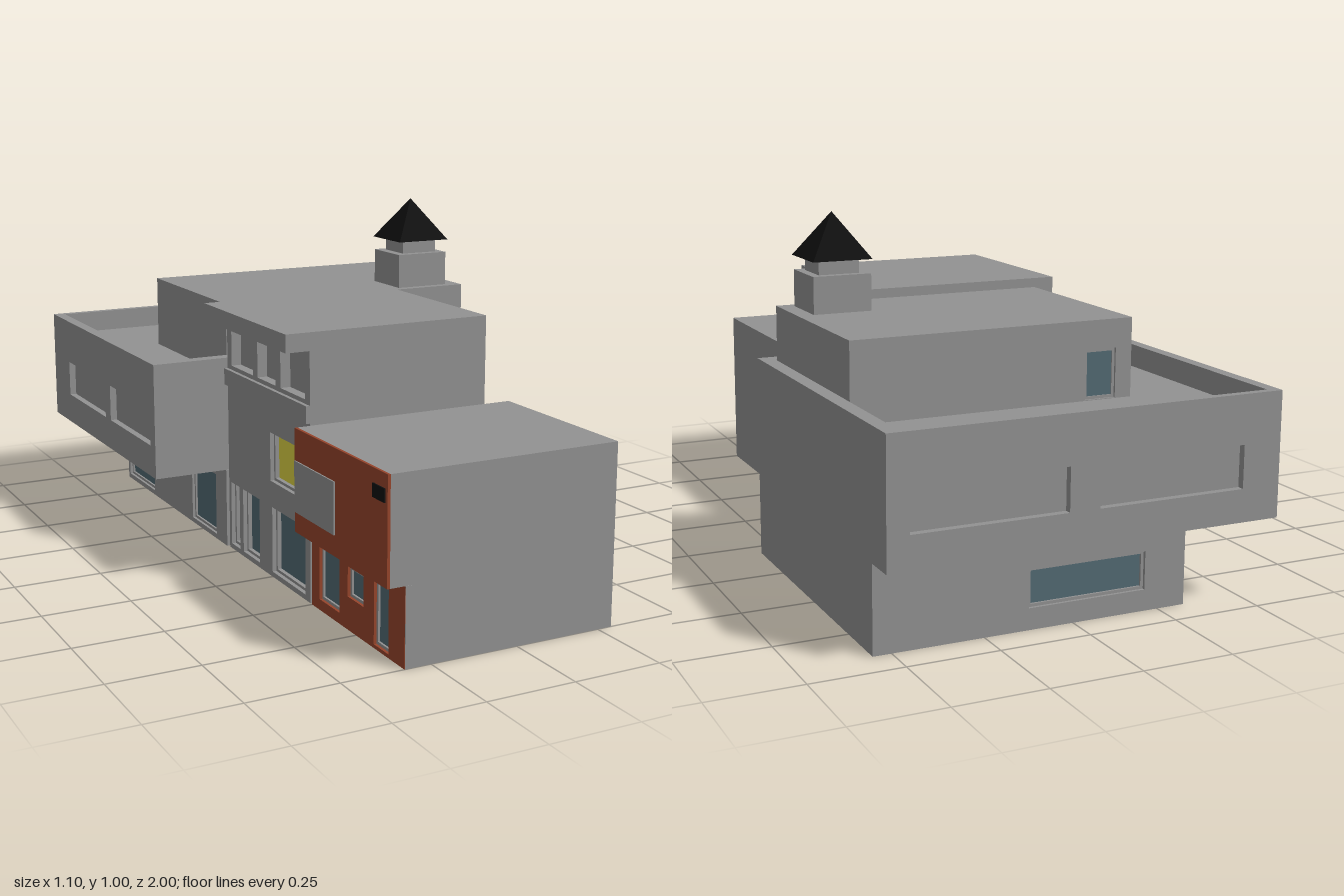
import * as THREE from 'three';

const mat = (name, color) => Object.assign(new THREE.MeshStandardMaterial({ color }), { name });
const GREY = mat('grey plaster', 0x929292);
const BRICK = mat('red brick', 0x96452c);
const GLASS = mat('blue grey glass', 0x536a73);
const YELLOW = mat('yellow panel', 0xdcd244);
const BLACK = mat('black roofing', 0x101010);

// Box from its min and max corners
function box(parent, name, m, [x0, x1], [y0, y1], [z0, z1]) {
  const mesh = new THREE.Mesh(new THREE.BoxGeometry(x1 - x0, y1 - y0, z1 - z0), m);
  mesh.position.set((x0 + x1) / 2, (y0 + y1) / 2, (z0 + z1) / 2);
  mesh.name = name;
  parent.add(mesh);
  return mesh;
}

function rect(Type, u0, u1, v0, v1) {
  const s = new Type();
  s.moveTo(u0, v0); s.lineTo(u1, v0); s.lineTo(u1, v1); s.lineTo(u0, v1); s.closePath();
  return s;
}

function slab(parent, name, m, outer, holes, depth, z = 0) {
  const s = rect(THREE.Shape, ...outer);
  holes.forEach(h => s.holes.push(rect(THREE.Path, ...h)));
  const mesh = new THREE.Mesh(new THREE.ExtrudeGeometry(s, { depth, bevelEnabled: false }), m);
  mesh.position.z = z;
  mesh.name = name;
  parent.add(mesh);
  return mesh;
}

// Wall with recessed openings; side 'left' faces -x (u = z), 'back' faces -z (u = -x).
// Each opening is { r: [u0, u1, y0, y1], pane, frame }.
function wall(parent, name, side, plane, outer, depth, openings, m = GREY) {
  const g = new THREE.Group();
  g.name = name;
  if (side === 'left') {
    g.rotation.y = -Math.PI / 2;
    g.position.x = plane + depth;
  } else {
    g.rotation.y = Math.PI;
    g.position.z = plane + depth;
  }
  slab(g, 'wallFace', m, outer, openings.map(o => o.r), depth);
  for (const { r, pane, frame } of openings) {
    if (pane) slab(g, 'pane', pane, r, [], 0.006);
    if (frame) {
      const f = 0.008;
      slab(g, 'frame', GREY, r, [[r[0] + f, r[1] - f, r[2] + f, r[3] - f]], depth * 0.6);
    }
  }
  parent.add(g);
}

function rearBuilding() {
  const g = new THREE.Group();
  g.name = 'rearBuilding';
  const D = 0.02;
  // ground floor, set back from the street and the rear
  box(g, 'groundFloor', GREY, [-0.31, 0.55], [0, 0.235], [-0.89, -0.06]);
  wall(g, 'groundRearWall', 'back', -0.91, [-0.55, 0.31, 0, 0.235], D,
    [{ r: [-0.127, 0.21, 0.058, 0.162], pane: GLASS, frame: true }]);
  wall(g, 'groundStreetWall', 'left', -0.33, [-0.91, -0.06, 0, 0.235], D, [
    { r: [-0.895, -0.66, 0.015, 0.205], pane: GLASS, frame: true },
    { r: [-0.33, -0.14, 0.015, 0.205], pane: GLASS, frame: true },
  ]);
  // overhanging upper floor
  box(g, 'upperFloor', GREY, [-0.53, 0.55], [0.235, 0.51], [-0.98, -0.065]);
  wall(g, 'upperRearWall', 'back', -1, [-0.55, 0.53, 0.235, 0.51], D,
    [{ r: [-0.49, -0.065, 0.325, 0.442] }, { r: [0.02, 0.44, 0.325, 0.442] }]);
  wall(g, 'upperStreetWall', 'left', -0.55, [-1, -0.065, 0.235, 0.51], D,
    [{ r: [-0.848, -0.495, 0.328, 0.438] }, { r: [-0.448, -0.105, 0.328, 0.438] }]);
  // parapet ring around the flat roof
  const parapet = slab(g, 'parapet', GREY, [-0.55, 0.55, 0.065, 1],
    [[-0.517, 0.51, 0.103, 0.978]], 0.065);
  parapet.rotation.x = -Math.PI / 2;
  parapet.position.y = 0.51;
  // penthouse with its roof door
  box(g, 'penthouse', GREY, [-0.305, 0.505], [0.505, 0.727], [-0.645, -0.103]);
  wall(g, 'penthouseRearWall', 'back', -0.66, [-0.505, 0.305, 0.505, 0.727], 0.015,
    [{ r: [0.165, 0.257, 0.512, 0.648], pane: GLASS, frame: true }]);
  // roof turret
  box(g, 'turretBase', GREY, [0.293, 0.46], [0.727, 0.83], [-0.285, -0.128]);
  box(g, 'turretNeck', GREY, [0.32, 0.436], [0.83, 0.872], [-0.262, -0.152]);
  const cap = new THREE.Mesh(new THREE.ConeGeometry(0.121, 0.125, 4).rotateY(Math.PI / 4).toNonIndexed(), BLACK);
  cap.geometry.computeVertexNormals();
  cap.position.set(0.377, 0.9325, -0.207);
  cap.name = 'turretCap';
  g.add(cap);
  return g;
}

function middleBuilding() {
  const g = new THREE.Group();
  g.name = 'middleBuilding';
  const D = 0.03;
  box(g, 'body', GREY, [-0.295, 0.218], [0, 0.695], [-0.05, 0.49]);
  wall(g, 'streetWall', 'left', -0.325, [-0.05, 0.49, 0, 0.695], D, [
    // shopfront
    { r: [-0.035, 0.025, 0.015, 0.205], pane: GLASS, frame: true },
    { r: [0.05, 0.165, 0.015, 0.205], pane: GLASS, frame: true },
    { r: [0.25, 0.46, 0.015, 0.205], pane: GLASS, frame: true },
    // yellow bay
    { r: [0.24, 0.46, 0.28, 0.42], pane: YELLOW, frame: true },
    // top floor recesses
    { r: [-0.02, 0.13, 0.56, 0.68] },
    { r: [0.16, 0.28, 0.56, 0.68] },
    { r: [0.31, 0.46, 0.56, 0.68] },
  ]);
  box(g, 'ledge', GREY, [-0.336, -0.32], [0.5, 0.548], [-0.05, 0.49]);
  box(g, 'overhangingRoof', GREY, [-0.395, 0.218], [0.695, 0.745], [-0.05, 0.49]);
  return g;
}

function frontBuilding() {
  const g = new THREE.Group();
  g.name = 'frontBuilding';
  const D = 0.02;
  box(g, 'groundFloor', GREY, [-0.305, 0.292], [0, 0.213], [0.5, 1]);
  box(g, 'upperFloor', GREY, [-0.367, 0.292], [0.213, 0.497], [0.5, 1]);
  // brick ground floor with shop window, small window and door
  box(g, 'groundWallEndRear', GREY, [-0.324, -0.305], [0, 0.213], [0.499, 0.501]);
  box(g, 'groundWallEndFront', GREY, [-0.324, -0.305], [0, 0.213], [0.999, 1.001]);
  wall(g, 'groundStreetWall', 'left', -0.325, [0.5, 1, 0, 0.213], D, [
    { r: [0.545, 0.66, 0.03, 0.208], pane: GLASS, frame: true },
    { r: [0.705, 0.79, 0.09, 0.172], pane: GLASS, frame: true },
    { r: [0.845, 0.92, 0.01, 0.2], pane: GLASS, frame: true },
  ], BRICK);
  // brick skin of the upper floor with a grey panel and a small plaque
  wall(g, 'upperStreetWall', 'left', -0.375, [0.5, 1, 0.213, 0.497], 0.008, [], BRICK);
  box(g, 'greyPanel', GREY, [-0.379, -0.374], [0.27, 0.41], [0.505, 0.73]);
  box(g, 'plaque', BLACK, [-0.379, -0.374], [0.425, 0.46], [0.93, 0.99]);
  return g;
}

export function createModel() {
  const model = new THREE.Group();
  model.name = 'streetBlock';
  model.add(rearBuilding(), middleBuilding(), frontBuilding());
  return model;
}
